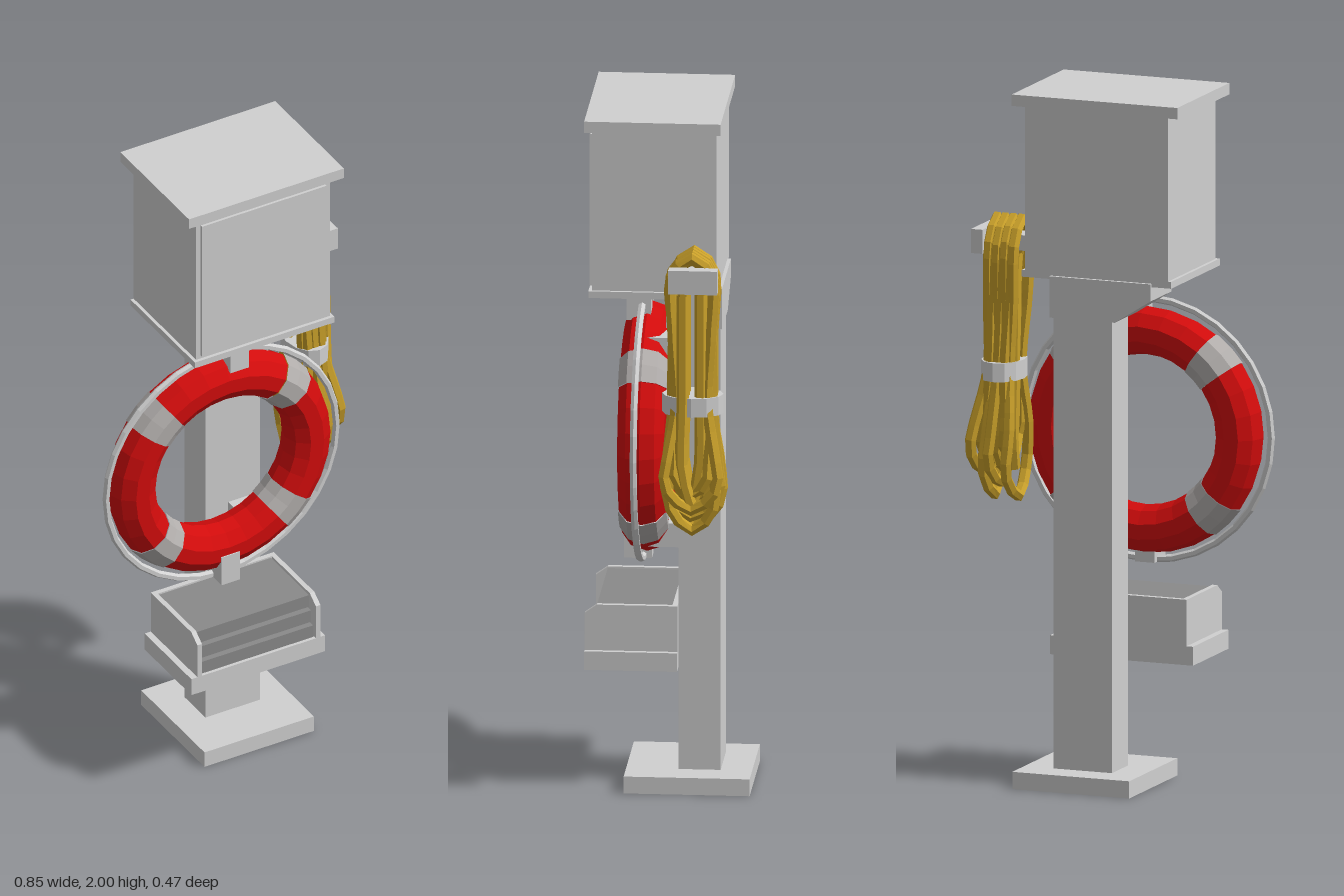
import * as THREE from 'three';

export function createModel() {
  const root = new THREE.Group();
  root.name = 'lifebuoyStation';

  const mat = (name, color, extra = {}) => {
    const m = new THREE.MeshStandardMaterial({ color, flatShading: true, ...extra });
    m.name = name;
    return m;
  };
  const paint = mat('light grey paint', 0xd0d0d0);
  const bandGrey = mat('band grey', 0xb2aeac);
  const darkGrey = mat('dark grey', 0x8a8a8a);
  const red = mat('buoy red', 0xd20c0c);
  const yellow = mat('rope yellow', 0xc9a02a);

  const add = (name, geo, material, parent = root) => {
    const m = new THREE.Mesh(geo, material);
    m.name = name;
    parent.add(m);
    return m;
  };
  // Box given by its extents on each axis
  const box = (name, [x0, x1], [y0, y1], [z0, z1], material, parent = root) => {
    const m = add(name, new THREE.BoxGeometry(x1 - x0, y1 - y0, z1 - z0), material, parent);
    m.position.set((x0 + x1) / 2, (y0 + y1) / 2, (z0 + z1) / 2);
    return m;
  };

  // Base plate and post
  box('basePlate', [-0.11, 0.25], [0, 0.05], [-0.25, 0.11], paint);
  box('post', [-0.02, 0.16], [0.05, 1.48], [-0.16, -0.04], paint);

  // Flared bracket that carries the cabinet
  const flare = new THREE.Shape([[-0.03, 1.36], [0.17, 1.36], [0.17, 1.48], [-0.14, 1.48], [-0.14, 1.43]]
    .map(([x, y]) => new THREE.Vector2(x, y)));
  add('cabinetBracket', new THREE.ExtrudeGeometry(flare, { depth: 0.16, bevelEnabled: false }), paint)
    .position.z = -0.165;

  // Cabinet with door and overhanging roof
  const cabinet = new THREE.Group();
  cabinet.name = 'cabinet';
  root.add(cabinet);
  box('cabinetBody', [-0.19, 0.25], [1.48, 1.97], [-0.155, 0.2], paint, cabinet);
  box('cabinetDoor', [-0.175, 0.235], [1.5, 1.95], [0.2, 0.208], paint, cabinet);
  box('cabinetSill', [-0.2, 0.26], [1.47, 1.49], [-0.155, 0.21], paint, cabinet);
  box('roof', [-0.225, 0.285], [1.967, 2], [-0.17, 0.22], paint, cabinet);

  // Life ring: alternating red and grey arcs
  const ring = new THREE.Group();
  ring.name = 'lifeRing';
  ring.position.set(-0.035, 1.01, 0.06);
  root.add(ring);
  const bandArc = 0.3;
  for (let i = 0; i < 4; i++) {
    const a = Math.PI / 4 + i * Math.PI / 2;
    add('ringSection', new THREE.TorusGeometry(0.288, 0.07, 10, 6, Math.PI / 2 - bandArc), red, ring)
      .rotation.z = a + bandArc / 2;
    add('ringBand', new THREE.TorusGeometry(0.288, 0.073, 10, 2, bandArc), bandGrey, ring)
      .rotation.z = a - bandArc / 2;
  }
  // Grab line around the rim, with its tabs and the fixing to the post
  add('grabLine', new THREE.TorusGeometry(0.379, 0.011, 6, 32), paint, ring).position.z = 0.015;
  box('topTab', [0.005, 0.065], [0.33, 0.42], [-0.01, 0.06], paint, ring);
  box('bottomTab', [-0.03, 0.03], [-0.385, -0.29], [-0.01, 0.07], paint, ring);
  box('ringMount', [0.09, 0.17], [0.24, 0.31], [-0.1, 0], paint, ring);
  box('ringMount', [0.09, 0.17], [-0.31, -0.24], [-0.1, 0], paint, ring);

  // Small box in front of the post
  const chest = new THREE.Group();
  chest.name = 'lowerBox';
  root.add(chest);
  box('boxTray', [-0.22, 0.22], [0.355, 0.41], [-0.04, 0.225], paint, chest);
  const side = new THREE.Shape([[-0.04, 0.41], [0.225, 0.41], [0.225, 0.52], [0.19, 0.545], [-0.04, 0.545]]
    .map(([z, y]) => new THREE.Vector2(-z, y)));
  const sideGeo = new THREE.ExtrudeGeometry(side, { depth: 0.015, bevelEnabled: false });
  for (const x of [-0.2, 0.19]) {
    const p = add('boxSide', sideGeo, paint, chest);
    p.rotation.y = Math.PI / 2;
    p.position.x = x;
  }
  box('boxBack', [-0.19, 0.19], [0.41, 0.545], [-0.04, -0.025], paint, chest);
  for (let i = 0; i < 3; i++) {
    const y = 0.41 + i * 0.045;
    box('boxSlat', [-0.187, 0.187], [y, y + 0.04], [-0.025, 0.215 - i * 0.012], darkGrey, chest);
  }
  box('boxCore', [-0.185, 0.185], [0.41, 0.538], [-0.025, 0.18], darkGrey, chest);

  // Peg for the rope
  box('ropePeg', [0.25, 0.4], [1.54, 1.585], [-0.13, -0.06], paint);
  box('ropePegEnd', [0.375, 0.41], [1.53, 1.6], [-0.17, -0.03], paint);

  // Hanging rope: loops over the peg, pinched at the waist, flaring below
  const rope = new THREE.Group();
  rope.name = 'ropeCoil';
  root.add(rope);
  const zc = -0.095;
  const loops = 7;
  for (let i = 0; i < loops; i++) {
    const t = i / (loops - 1);
    const top = 0.285 + 0.075 * t;
    const waist = 0.305 + 0.065 * t;
    const low = 0.295 + 0.11 * t;
    const drop = 0.82 + 0.035 * ((i * 3) % 4);
    const w = 0.072 - 0.012 * (i % 3);
    const half = s => [
      [top, 1.57, 0.055 * s + 0.005 * (i % 2)],
      [top + 0.005, 1.4, 0.055 * s],
      [waist, 1.19, (0.045 + 0.012 * (i % 2)) * s],
      [low, 1.02, w * s],
      [low + 0.008, drop + 0.07, w * 1.05 * s],
    ];
    const pts = [[top, 1.625 - 0.01 * (i % 2), 0], ...half(1), [low, drop, 0], ...half(-1).reverse()]
      .map(([x, y, z]) => new THREE.Vector3(x, y, zc + z));
    const path = new THREE.CatmullRomCurve3(pts, true);
    add('ropeLoop', new THREE.TubeGeometry(path, 36, 0.017, 6, true), yellow, rope);
  }
  // Inner strands that fill the bundle
  for (let i = 0; i < 6; i++) {
    const x = 0.3 + 0.018 * i;
    const z = zc + (i % 2 ? 0.025 : -0.025);
    const path = new THREE.CatmullRomCurve3([[x - 0.005, 1.52, z], [x, 1.2, z], [x + 0.005, 1.0, z * 0.98], [x + 0.008, 0.9, zc]]
      .map(p => new THREE.Vector3(...p)));
    add('ropeStrand', new THREE.TubeGeometry(path, 10, 0.018, 6), yellow, rope);
  }
  // Strap around the waist
  const strap = add('ropeStrap', new THREE.CylinderGeometry(1, 1, 0.055, 12), paint, rope);
  strap.scale.set(0.062, 1, 0.088);
  strap.position.set(0.338, 1.19, zc);

  return root;
}
